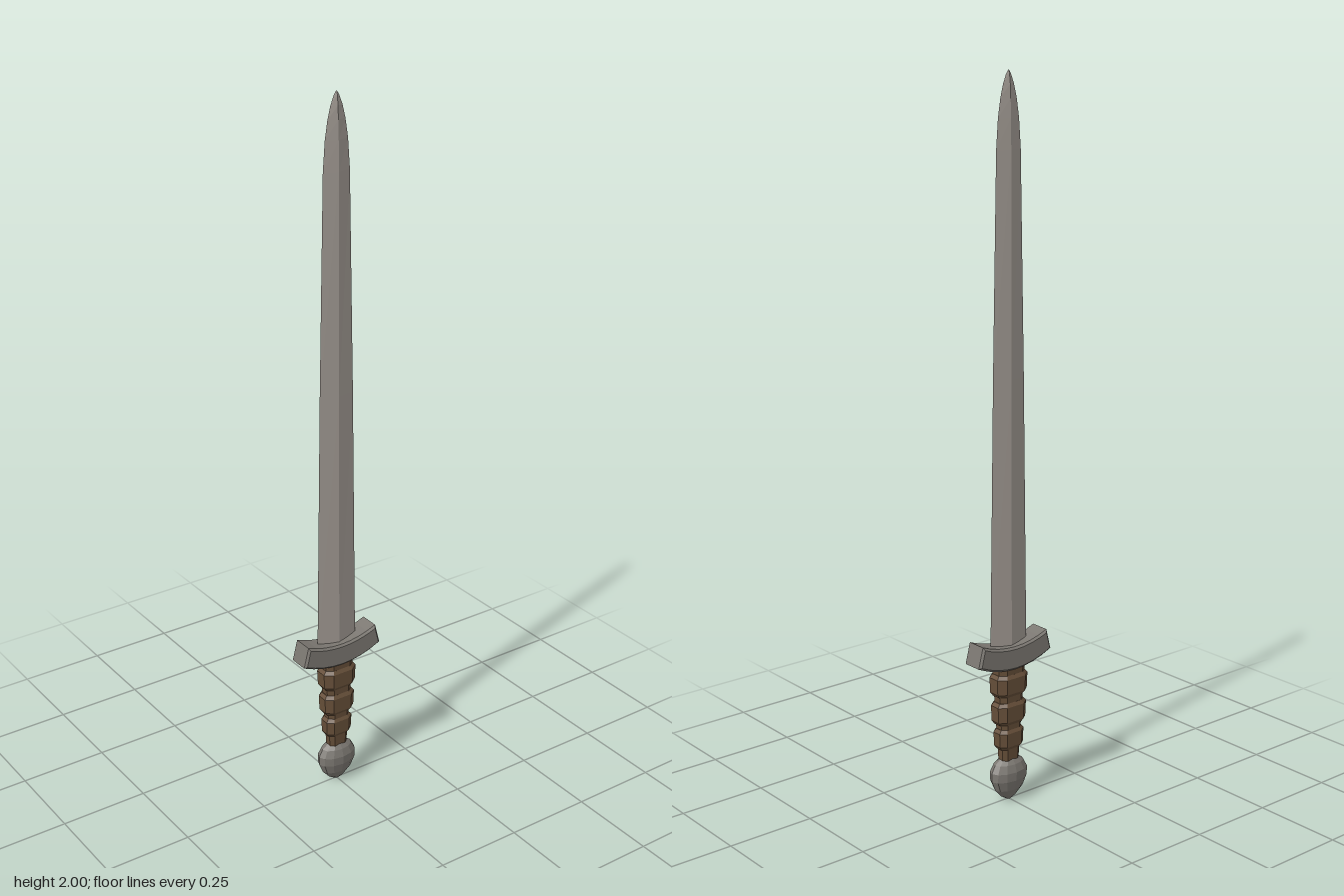
import * as THREE from 'three';

const material = (name, color) => {
  const m = new THREE.MeshStandardMaterial({ color, flatShading: true });
  m.name = name;
  return m;
};

// Cross-section outlines at unit size, running from +x towards +z
const ring = (n) => Array.from({ length: n }, (_, i) => {
  const a = (i / n) * Math.PI * 2;
  return [Math.cos(a), Math.sin(a)];
});
const DIAMOND = ring(4);
const ROUND = ring(12);
const CHAMFERED = [[1, -0.5], [1, 0.5], [0.6, 1], [-0.6, 1], [-1, 0.5], [-1, -0.5], [-0.6, -1], [0.6, -1]];

// Skins rows of [y, halfWidth, halfDepth] with one outline and closes both ends
function loft(outline, rows) {
  const n = outline.length;
  const pos = [];
  const index = [];
  for (const [y, rx, rz] of rows) {
    for (const [x, z] of outline) pos.push(x * rx, y, z * rz);
  }
  for (let r = 0; r < rows.length - 1; r++) {
    for (let i = 0; i < n; i++) {
      const a = r * n + i;
      const b = r * n + ((i + 1) % n);
      index.push(a, a + n, b, b, a + n, b + n);
    }
  }
  const top = (rows.length - 1) * n;
  for (let i = 1; i < n - 1; i++) {
    index.push(0, i, i + 1, top, top + i + 1, top + i);
  }
  const geometry = new THREE.BufferGeometry();
  geometry.setAttribute('position', new THREE.Float32BufferAttribute(pos, 3));
  geometry.setIndex(index);
  const flat = geometry.toNonIndexed();
  flat.computeVertexNormals();
  return flat;
}

export function createModel() {
  const sword = new THREE.Group();
  sword.name = 'sword';
  const bladeSteel = material('blade steel', 0xa39c95);
  const darkSteel = material('dark steel', 0x7c7872);
  const leather = material('brown leather', 0x664f39);

  const add = (name, geometry, mat) => {
    const mesh = new THREE.Mesh(geometry, mat);
    mesh.name = name;
    sword.add(mesh);
  };

  // Tapered diamond-section blade with a rounded point
  add('blade', loft(DIAMOND, [
    [0.44, 0.064, 0.014], [1.2, 0.053, 0.0125], [1.8, 0.041, 0.011], [1.88, 0.035, 0.01],
    [1.93, 0.027, 0.0085], [1.965, 0.018, 0.007], [1.99, 0.008, 0.004], [2, 0.001, 0.001],
  ]), bladeSteel);

  // Upward-curving guard with a narrow bevel
  const bevel = 0.006;
  const arc = new THREE.Shape();
  arc.moveTo(-0.128, 0.425);
  arc.quadraticCurveTo(0, 0.363, 0.128, 0.425);
  arc.lineTo(0.113, 0.484);
  arc.quadraticCurveTo(0, 0.436, -0.113, 0.484);
  const guard = new THREE.ExtrudeGeometry(arc, {
    depth: 0.068 - 2 * bevel, curveSegments: 8,
    bevelThickness: bevel, bevelSize: bevel, bevelOffset: -bevel, bevelSegments: 1,
  });
  guard.translate(0, 0, -0.034 + bevel);
  add('guard', guard, darkSteel);

  // Grip core, narrowing towards the pommel
  add('grip', loft(CHAMFERED, [[0.11, 0.028, 0.018], [0.41, 0.047, 0.029]]), leather);

  // Three swollen leather bands
  const bands = [[0.157, 0.217, 0.043, 0.027], [0.232, 0.297, 0.05, 0.031], [0.316, 0.38, 0.054, 0.034]];
  bands.forEach(([y0, y1, w, d], i) => add(`gripBand${i + 1}`, loft(CHAMFERED, [
    [y0, w - 0.009, d - 0.007], [y0 + 0.01, w - 0.002, d - 0.001],
    [y1 - 0.01, w, d], [y1, w - 0.008, d - 0.006],
  ]), leather));

  // Flattened teardrop pommel
  add('pommel', loft(ROUND, [
    [0, 0.006, 0.005], [0.012, 0.026, 0.015], [0.035, 0.047, 0.027], [0.065, 0.06, 0.035],
    [0.09, 0.06, 0.036], [0.112, 0.048, 0.029], [0.126, 0.028, 0.018],
  ]), darkSteel);

  return sword;
}
